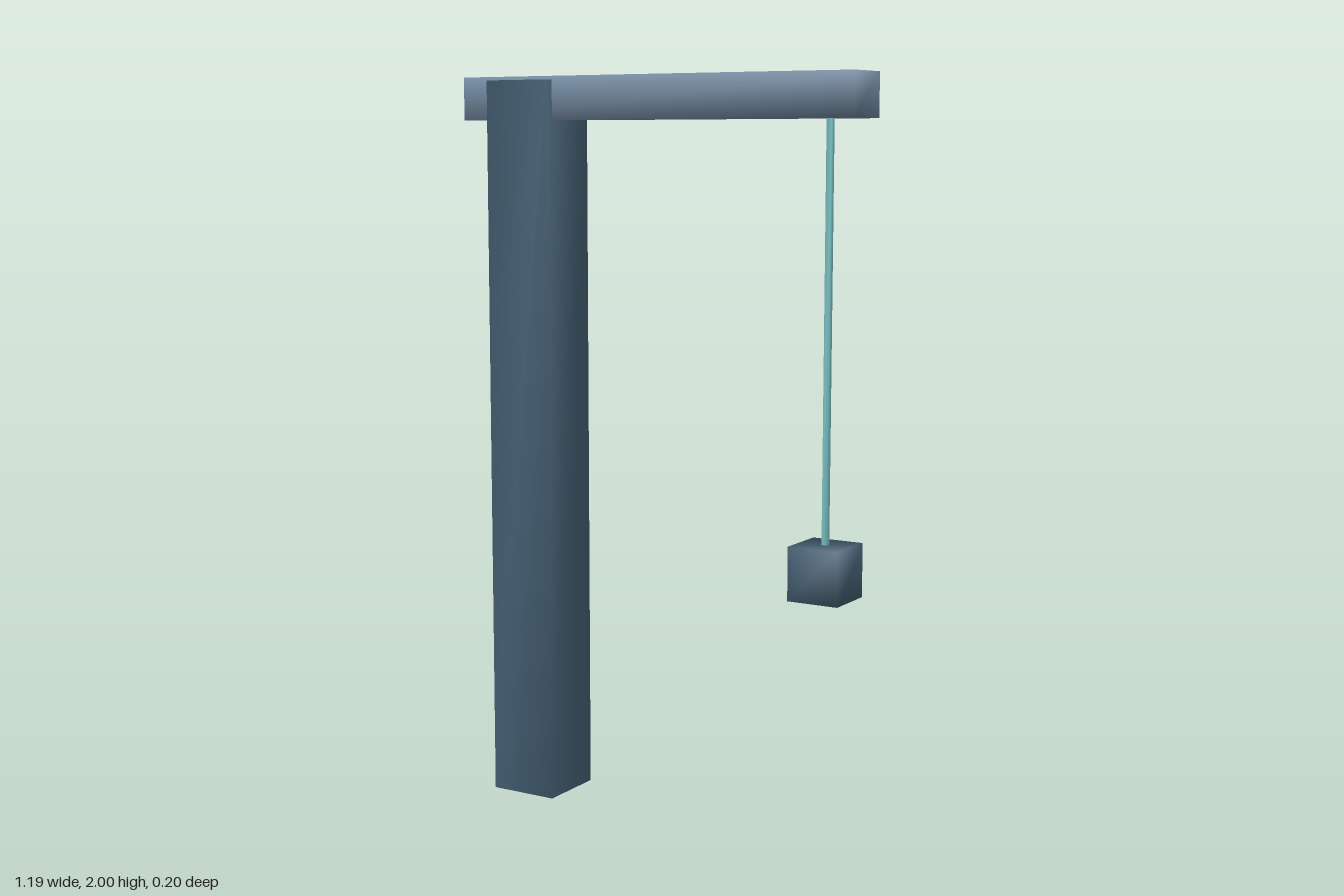
import * as THREE from 'three';
import { mergeVertices } from 'three/addons/utils/BufferGeometryUtils.js';

const material = (name, color) => {
  const m = new THREE.MeshStandardMaterial({ color });
  m.name = name;
  return m;
};

// Box with corners shared between faces, so its shading is smooth
function softBox(width, height, depth) {
  const box = new THREE.BoxGeometry(width, height, depth);
  box.deleteAttribute('normal');
  box.deleteAttribute('uv');
  const geometry = mergeVertices(box);
  geometry.computeVertexNormals();
  return geometry;
}

export function createModel() {
  const group = new THREE.Group();
  group.name = 'hoist';

  const darkSteel = material('dark steel', 0x456074);
  const lightSteel = material('light steel', 0x70879e);
  const teal = material('teal cable', 0x7cc4c8);

  // Adds a box resting at height y0
  function addPart(name, mat, [w, h, d], x, y0) {
    const mesh = new THREE.Mesh(softBox(w, h, d), mat);
    mesh.name = name;
    mesh.position.set(x, y0 + h / 2, 0);
    group.add(mesh);
  }

  // Upright and the arm passing through its top
  addPart('post', darkSteel, [0.196, 1.99, 0.196], -0.401, 0);
  addPart('arm', lightSteel, [1.19, 0.116, 0.144], 0, 1.884);

  // Cable with the hanging weight
  addPart('cable', teal, [0.015, 1.12, 0.015], 0.495, 0.78);
  addPart('weight', darkSteel, [0.144, 0.144, 0.144], 0.495, 0.65);

  return group;
}
